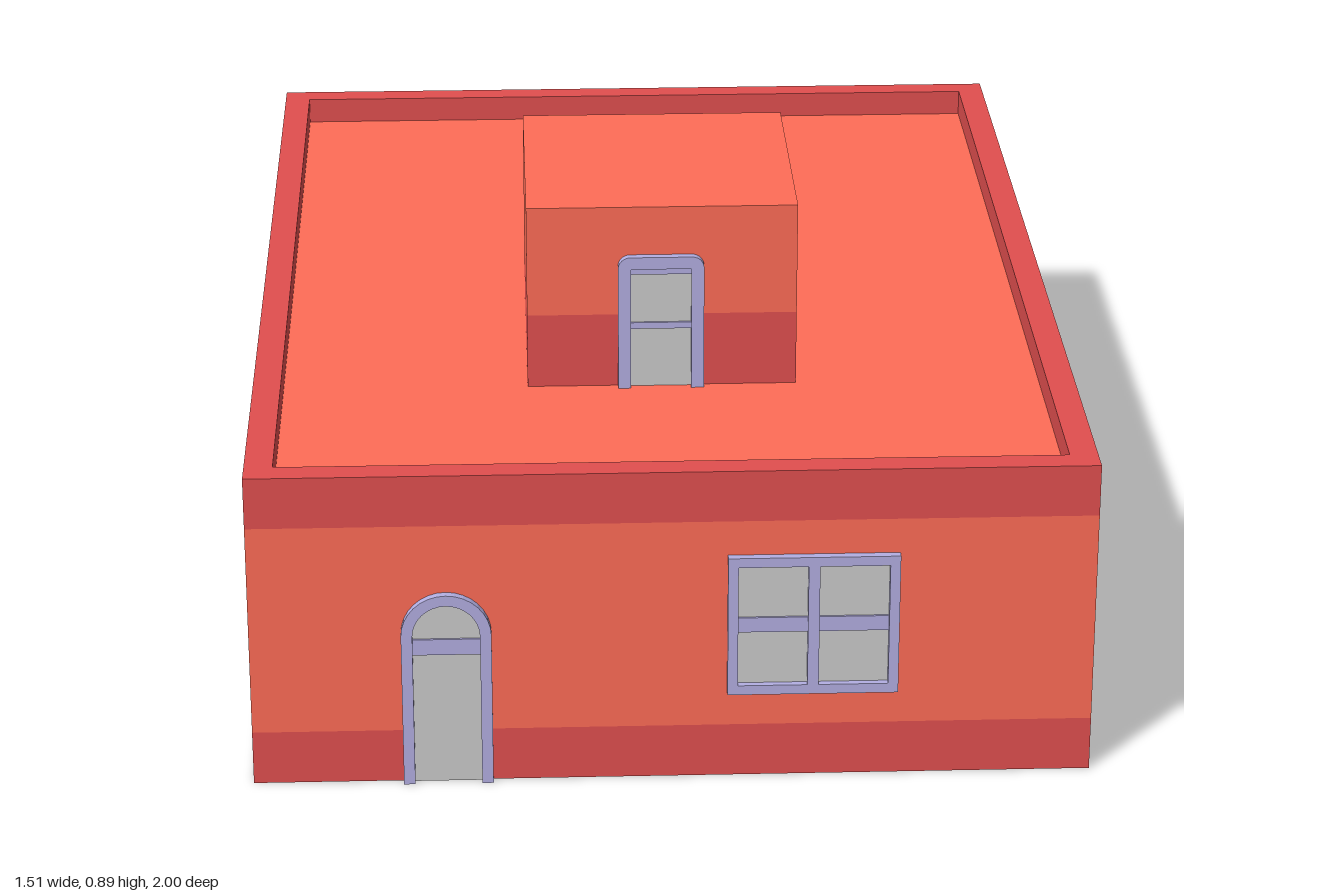
import * as THREE from 'three';

const mat = (color, extra = {}) => new THREE.MeshStandardMaterial({ color, ...extra });
const wallMat = mat(0xff6d57);
const bandMat = mat(0xe14f4f);
const frameMat = mat(0xb3afe2);
const paneMat = mat(0xcccccc);

const DEPTH = 0.015; // how far frames stand out of the walls

function add(parent, name, geometry, material, x = 0, y = 0, z = 0) {
  const mesh = new THREE.Mesh(geometry, material);
  mesh.name = name;
  mesh.position.set(x, y, z);
  parent.add(mesh);
  return mesh;
}

// Box spanning y0..y1
function slab(parent, name, w, y0, y1, d, material, x = 0, z = 0) {
  return add(parent, name, new THREE.BoxGeometry(w, y1 - y0, d), material, x, (y0 + y1) / 2, z);
}

const extrude = (shape, depth) =>
  new THREE.ExtrudeGeometry(shape, { depth, bevelEnabled: false, curveSegments: 12 });

function rect(w, h, Type = THREE.Shape) {
  return new Type([[-w, -h], [w, -h], [w, h], [-w, h]].map(([x, y]) => new THREE.Vector2(x / 2, y / 2)));
}

// Upright outline with its top corners rounded by r, from bottom right to bottom left
function doorOutline(w, h, r) {
  const pts = [new THREE.Vector2(w / 2, 0)];
  for (const side of [1, -1]) {
    for (let i = 0; i <= 8; i++) {
      const a = (side > 0 ? 0 : Math.PI / 2) + (i / 8) * Math.PI / 2;
      pts.push(new THREE.Vector2(side * (w / 2 - r) + r * Math.cos(a), h - r + r * Math.sin(a)));
    }
  }
  pts.push(new THREE.Vector2(-w / 2, 0));
  return pts;
}

// Four-pane window, its back on the wall, facing +z
function makeWindow() {
  const g = new THREE.Group();
  const w = 0.3, h = 0.265, t = 0.018;
  const frame = rect(w, h);
  frame.holes.push(rect(w - 2 * t, h - 2 * t, THREE.Path));
  add(g, 'windowFrame', extrude(frame, DEPTH), frameMat);
  add(g, 'windowPane', new THREE.BoxGeometry(w - 2 * t, h - 2 * t, 0.004), paneMat, 0, 0, 0.001);
  add(g, 'windowMullion', new THREE.BoxGeometry(0.02, h - 2 * t, DEPTH), frameMat, 0, 0, DEPTH / 2);
  add(g, 'windowCrossbar', new THREE.BoxGeometry(w - 2 * t, 0.028, 0.007), frameMat, 0, 0, 0.0035);
  return g;
}

// Door with a frame open at the foot, facing +z; bars lists [centre y, height]
function makeDoor(w, h, r, t, innerR, bars) {
  const g = new THREE.Group();
  const inner = doorOutline(w - 2 * t, h - t, innerR);
  const frame = new THREE.Shape([...doorOutline(w, h, r), ...inner.slice().reverse()]);
  add(g, 'doorFrame', extrude(frame, DEPTH), frameMat);
  add(g, 'doorPane', extrude(new THREE.Shape(inner), 0.003), paneMat);
  for (const [y, bh] of bars)
    add(g, 'doorCrossbar', new THREE.BoxGeometry(w - 2 * t, bh, 0.007), frameMat, 0, y, 0.0035);
  return g;
}

export function createModel() {
  const house = new THREE.Group();
  house.name = 'house';
  const W = 1.48, D = 1.97, ROOF = 0.54;

  // Main block: dark plinth, walls, dark parapet and sunken roof
  slab(house, 'plinth', W, 0, 0.1, D, bandMat);
  slab(house, 'walls', W, 0.1, 0.495, D, wallMat);
  const rim = rect(W, D);
  rim.holes.push(rect(W - 0.1, D - 0.095, THREE.Path));
  const parapet = add(house, 'parapet', extrude(rim, 0.095), bandMat, 0, 0.495, 0);
  parapet.rotation.x = -Math.PI / 2;
  parapet.position.y = 0.495;
  slab(house, 'roof', W - 0.1, 0.495, ROOF, D - 0.095, wallMat);

  // Rooftop hut
  slab(house, 'hutPlinth', 0.49, ROOF, 0.68, 0.49, bandMat, 0, 0.245);
  slab(house, 'hutWalls', 0.49, 0.68, 0.888, 0.49, wallMat, 0, 0.245);
  const hutDoor = makeDoor(0.156, 0.256, 0.022, 0.023, 0.002, [[0.12, 0.012], [0.226, 0.012]]);
  hutDoor.name = 'hutDoor';
  hutDoor.position.set(-0.002, ROOF, 0.49);
  house.add(hutDoor);

  // Arched front door
  const door = makeDoor(0.158, 0.368, 0.079, 0.02, 0.059, [[0.265, 0.03]]);
  door.name = 'frontDoor';
  door.position.set(-0.396, 0, D / 2);
  house.add(door);

  // Windows: name, x, z, turn about y
  const q = Math.PI / 2;
  const windows = [
    ['frontWindow', 0.245, D / 2, 0],
    ['backWindow', -0.35, -D / 2, 2 * q],
    ['backWindow', 0.39, -D / 2, 2 * q],
    ['leftWindow', W / 2, 0.49, q],
    ['leftWindow', W / 2, -0.445, q],
    ['rightWindow', -W / 2, 0.39, -q],
    ['rightWindow', -W / 2, -0.545, -q],
  ];
  for (const [name, x, z, turn] of windows) {
    const win = makeWindow();
    win.name = name;
    win.position.set(x, 0.298, z);
    win.rotation.y = turn;
    house.add(win);
  }
  return house;
}
